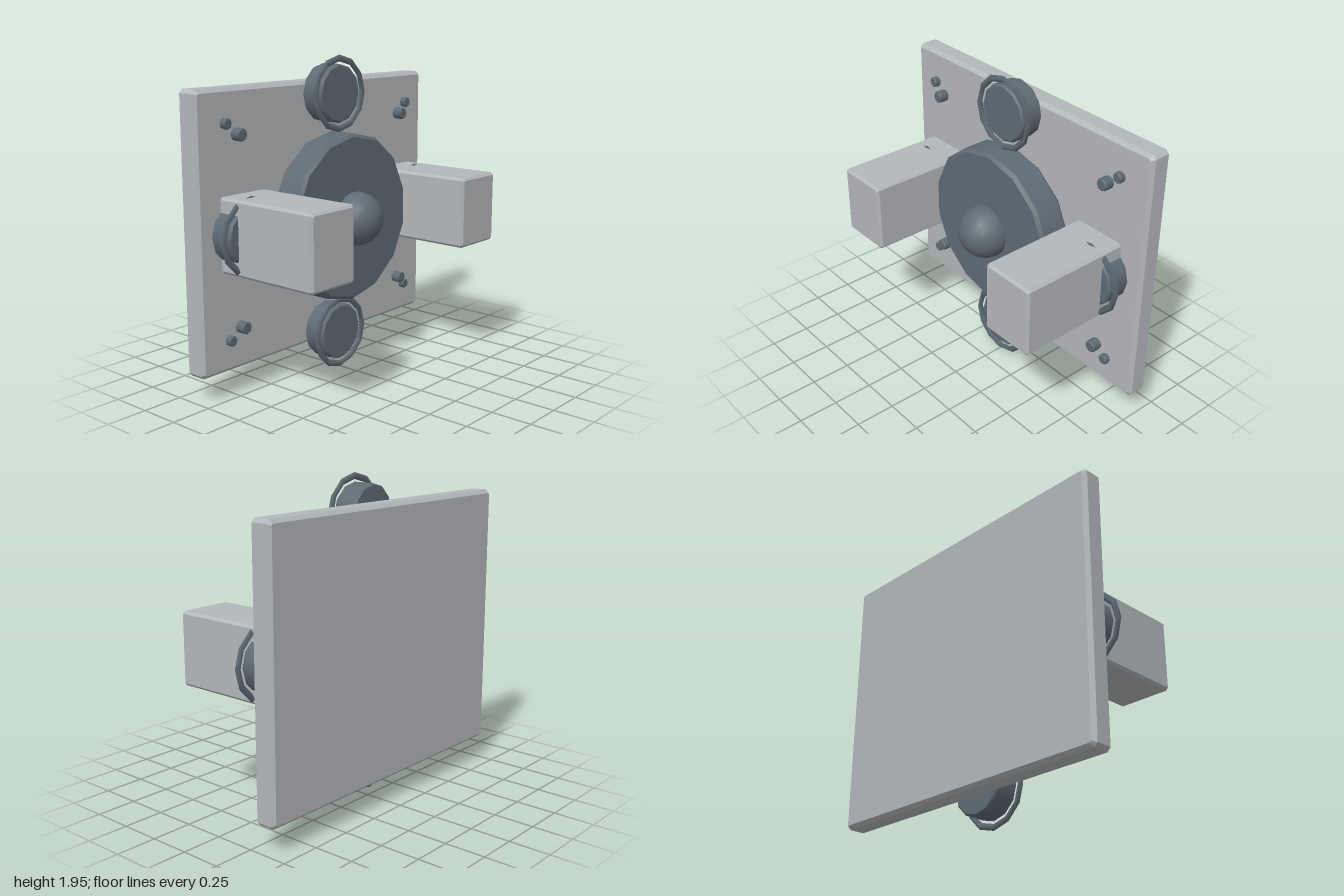
import * as THREE from 'three';

const lightGrey = new THREE.MeshStandardMaterial({ color: 0xb4b7bb });
lightGrey.name = 'lightGrey';
const slate = new THREE.MeshStandardMaterial({ color: 0x5f6b74 });
slate.name = 'slate';

function add(parent, name, geometry, material, x = 0, y = 0, z = 0) {
  const mesh = new THREE.Mesh(geometry, material);
  mesh.name = name;
  mesh.position.set(x, y, z);
  parent.add(mesh);
  return mesh;
}

// Box with chamfered edges, centred on its origin
function chamferBox(w, h, d, c) {
  const x = w / 2 - c, y = h / 2 - c, k = c * 0.4;
  const pts = [[x - k, -y], [x, -y + k], [x, y - k], [x - k, y], [-x + k, y], [-x, y - k], [-x, -y + k], [-x + k, -y]];
  const shape = new THREE.Shape(pts.map(([a, b]) => new THREE.Vector2(a, b)));
  const geo = new THREE.ExtrudeGeometry(shape, {
    depth: d - 2 * c, bevelEnabled: true, bevelThickness: c, bevelSize: c, bevelSegments: 1,
  });
  return geo.translate(0, 0, -d / 2 + c);
}

// Chamfered polygonal disc with its axis on z and a corner at the top
function disc(r, depth, c, sides) {
  const h = depth / 2;
  const profile = [[0, -h], [r - c, -h], [r, -h + c], [r, h - c], [r - c, h], [0, h]];
  const geo = new THREE.LatheGeometry(profile.map(([a, b]) => new THREE.Vector2(a, b)), sides).toNonIndexed();
  geo.rotateX(Math.PI / 2);
  // Side normals stay smooth around the rim, flat on caps and chamfers
  geo.computeVertexNormals();
  const p = geo.attributes.position, n = geo.attributes.normal;
  for (let i = 0; i < p.count; i++) {
    const len = Math.hypot(n.getX(i), n.getY(i)), rad = Math.hypot(p.getX(i), p.getY(i));
    if (len > 0.3 && rad > 1e-4) n.setXYZ(i, p.getX(i) / rad * len, p.getY(i) / rad * len, n.getZ(i));
  }
  return geo;
}

export function createModel() {
  const model = new THREE.Group();
  model.name = 'panel';
  const midY = 0.98;

  // Back plate
  add(model, 'backPlate', chamferBox(2, 1.64, 0.14, 0.022), lightGrey, 0, midY, -0.355);

  // Central disc and dome
  add(model, 'centralDisc', disc(0.515, 0.2, 0.02, 14), slate, 0, midY, -0.12);
  const ball = new THREE.SphereGeometry(0.165, 18, 10).rotateX(Math.PI / 2);
  add(model, 'dome', ball, slate, 0, midY, 0);

  // Four round knobs, each with a thin ring around it
  const knobGeo = disc(0.176, 0.15, 0.01, 12);
  const ringGeo = new THREE.TorusGeometry(0.211, 0.02, 4, 12);
  for (const [name, x, y] of [['top', 0, 0.743], ['bottom', 0, -0.743], ['left', 0.743, 0], ['right', -0.743, 0]]) {
    const knob = new THREE.Group();
    knob.name = name + 'Knob';
    knob.position.set(x, midY + y, 0);
    add(knob, 'knobBody', knobGeo, slate, 0, 0, -0.2);
    add(knob, 'knobRing', ringGeo, slate, 0, 0, -0.135);
    model.add(knob);
  }

  // Side blocks and the pairs of corner pegs
  const blockGeo = chamferBox(0.345, 0.437, 0.705, 0.015);
  const largePeg = disc(0.038, 0.065, 0.005, 8);
  const smallPeg = disc(0.032, 0.04, 0.005, 8);
  for (const s of [1, -1]) {
    const side = s > 0 ? 'left' : 'right';
    add(model, side + 'Block', blockGeo, lightGrey, s * 0.678, 0.982, 0.0725);
    for (const v of [1, -1]) {
      const corner = side + (v > 0 ? 'Upper' : 'Lower');
      add(model, corner + 'LargePeg', largePeg, slate, s * 0.72, midY + v * 0.56, -0.2425);
      add(model, corner + 'SmallPeg', smallPeg, slate, s * 0.8, midY + v * 0.626, -0.26);
    }
  }
  return model;
}
